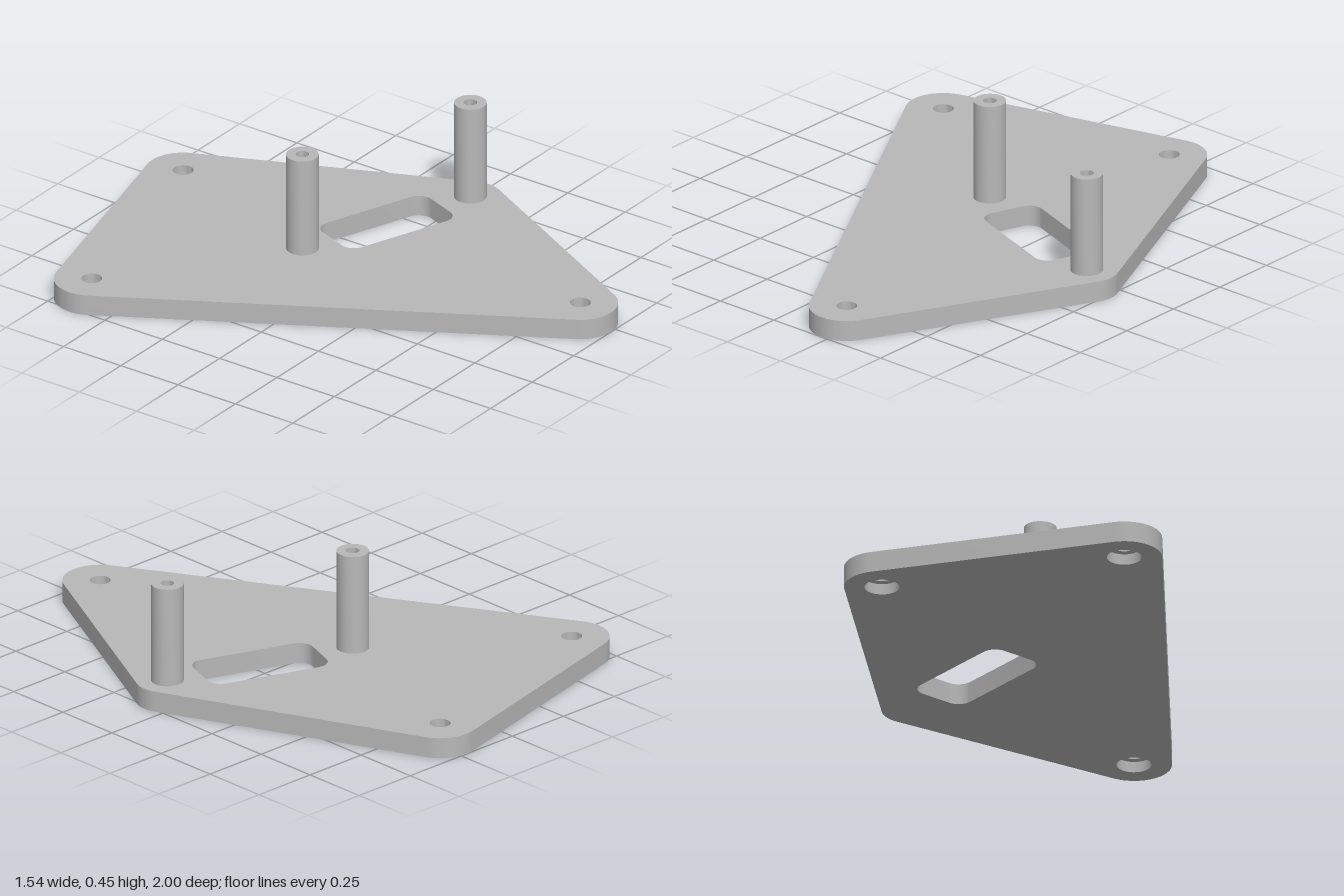
import * as THREE from 'three';
import { toCreasedNormals } from 'three/addons/utils/BufferGeometryUtils.js';

const PLATE_TOP = 0.077, POST_TOP = 0.45;
const BORE_R = 0.037, COUNTERBORE_R = 0.062, COUNTERBORE_DEPTH = 0.04;
const POST_R = 0.058, POST_HOLE_R = 0.024;

// Rounded corners of the plate as [x, -z, radius], counter-clockwise
const corners = [
  [0.658, -0.073, 0.113],
  [0.225, 0.866, 0.134],
  [-0.637, 0.64, 0.134],
  [0.225, -0.866, 0.134],
];
const posts = [[-0.012, -0.174], [0.658, 0.073]]; // x, z

// Direction of the outward normal on the tangent line joining two corner circles
function tangentAngle([x1, y1, r1], [x2, y2, r2]) {
  const dx = x2 - x1, dy = y2 - y1;
  return Math.atan2(dy, dx) - Math.acos((r1 - r2) / Math.hypot(dx, dy));
}

function plateOutline() {
  const shape = new THREE.Shape();
  const n = corners.length;
  corners.forEach((c, i) => {
    const start = tangentAngle(corners[(i + n - 1) % n], c);
    const end = tangentAngle(c, corners[(i + 1) % n]);
    shape.absarc(c[0], c[1], c[2], start, end, false);
  });
  shape.closePath();
  return shape;
}

// Rounded slot centred between the posts, turned along the line joining them
function slotPath() {
  const [a, b] = posts;
  const cx = (a[0] + b[0]) / 2, cy = -(a[1] + b[1]) / 2;
  const turn = Math.atan2(a[1] - b[1], b[0] - a[0]);
  const hw = 0.23, hh = 0.112, r = 0.052;
  const path = new THREE.Path();
  [[1, 1], [-1, 1], [-1, -1], [1, -1]].forEach(([sx, sy], i) => {
    const u = sx * (hw - r), v = sy * (hh - r);
    const x = cx + u * Math.cos(turn) - v * Math.sin(turn);
    const y = cy + u * Math.sin(turn) + v * Math.cos(turn);
    const start = turn + i * Math.PI / 2;
    path.absarc(x, y, r, start, start + Math.PI / 2, false);
  });
  path.closePath();
  return path;
}

function lathe(profile) {
  const points = profile.map(([r, y]) => new THREE.Vector2(r, y));
  return toCreasedNormals(new THREE.LatheGeometry(points, 32), 0.6);
}

export function createModel() {
  const model = new THREE.Group();
  model.name = 'mountingPlate';
  const grey = new THREE.MeshStandardMaterial({ color: 0xb8b8b8 });
  grey.name = 'grey';

  const add = (geometry, name, x = 0, z = 0) => {
    const mesh = new THREE.Mesh(geometry, grey);
    mesh.name = name;
    mesh.position.set(x, 0, z);
    model.add(mesh);
  };

  // Plate with slot and screw holes
  const outline = plateOutline();
  outline.holes.push(slotPath());
  const screwHoles = corners.slice(1);
  for (const [x, y] of screwHoles) {
    outline.holes.push(new THREE.Path().absarc(x, y, COUNTERBORE_R, 0, Math.PI * 2, false));
  }
  const plate = new THREE.ExtrudeGeometry(outline, {
    depth: PLATE_TOP, bevelEnabled: false, curveSegments: 16,
  });
  plate.rotateX(-Math.PI / 2);
  add(toCreasedNormals(plate, 0.6), 'plate');

  // Shoulders that narrow each counterbored hole towards the top
  const shoulder = lathe([
    [COUNTERBORE_R, PLATE_TOP], [BORE_R, PLATE_TOP],
    [BORE_R, COUNTERBORE_DEPTH], [COUNTERBORE_R, COUNTERBORE_DEPTH],
  ]);
  for (const [x, y] of screwHoles) add(shoulder, 'screwHoleShoulder', x, -y);

  // Hollow standoff posts
  const post = lathe([
    [POST_R, PLATE_TOP], [POST_R, POST_TOP],
    [POST_HOLE_R, POST_TOP], [POST_HOLE_R, PLATE_TOP],
  ]);
  for (const [x, z] of posts) add(post, 'standoffPost', x, z);

  return model;
}
